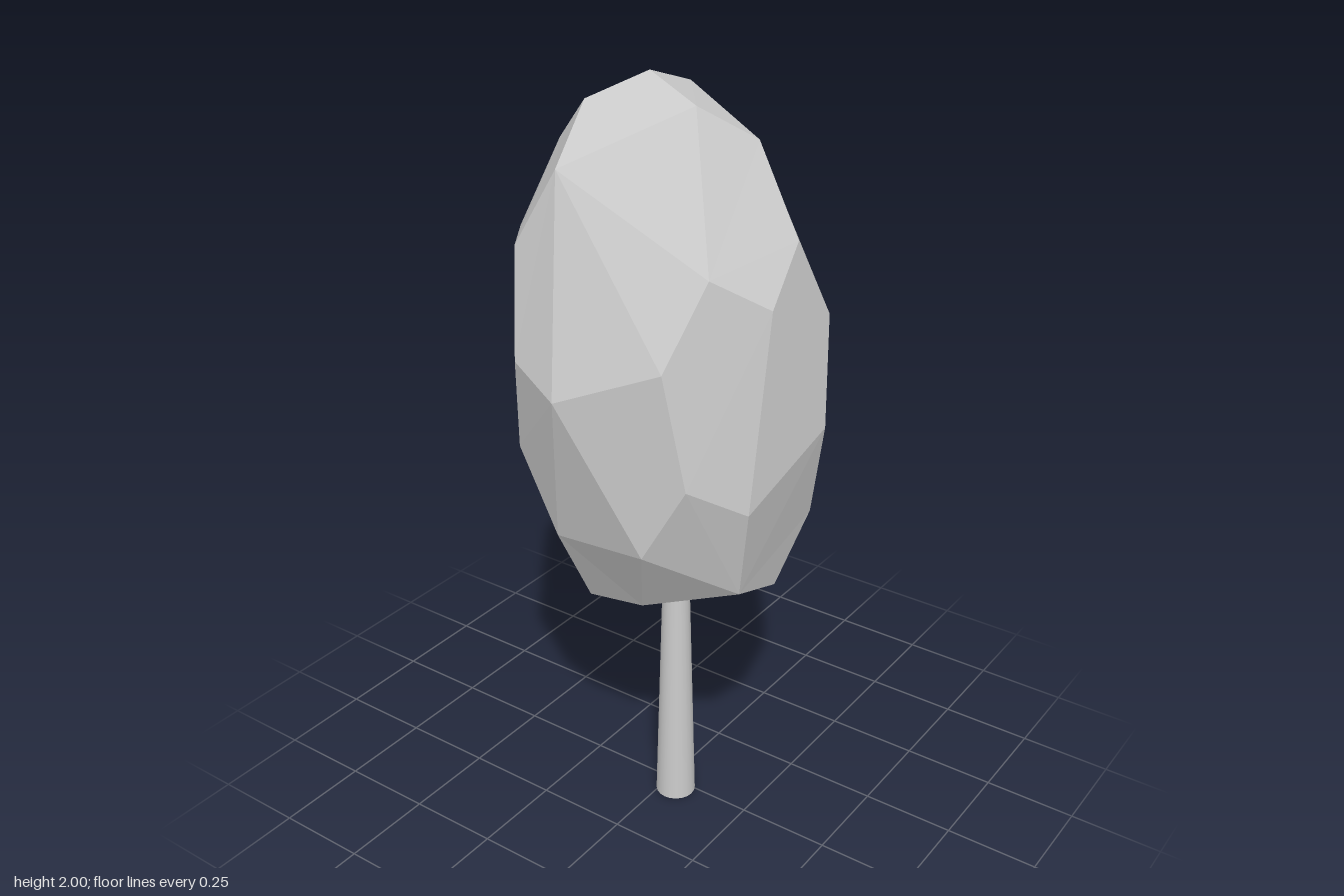
import * as THREE from 'three';
import { ConvexGeometry } from 'three/addons/geometries/ConvexGeometry.js';

const material = new THREE.MeshStandardMaterial({ color: 0xcccccc });

// Corners of the faceted crown, band by band
const cap = [
  [-0.05, 2, 0.01], [0.11, 1.95, 0.055], [0.2, 1.86, -0.07], [-0.05, 1.945, -0.155],
  [-0.17, 1.935, 0.1], [-0.3, 1.81, 0.035], [-0.3, 1.735, -0.125], [-0.14, 1.81, 0.25],
];
const shoulder = [
  [0.325, 1.65, -0.05], [0.35, 1.53, 0.095], [0.26, 1.62, 0.22], [0.21, 1.42, 0.33],
  [-0.25, 1.615, 0.275], [-0.345, 1.61, 0.14], [-0.2, 1.36, 0.35], [-0.26, 1.39, -0.31],
  [-0.15, 1.57, -0.33], [0.13, 1.62, -0.315], [0.35, 1.44, -0.165],
];
const waist = [
  [0.395, 1.18, -0.09], [0.35, 1.04, 0.175], [0.26, 1.13, 0.305], [-0.05, 1.31, 0.4],
  [-0.395, 1.33, 0.085], [-0.25, 1.1, 0.29], [-0.355, 1, -0.1], [-0.215, 1.1, -0.33],
  [-0.065, 1.02, -0.38], [0.05, 1.22, -0.4], [0.2, 1.17, -0.35],
];
const underside = [
  [0.335, 0.91, -0.14], [0.15, 0.93, 0.33], [-0.13, 0.89, 0.3], [-0.325, 0.88, 0.05],
  [-0.24, 0.885, -0.195], [0.3, 0.785, 0.13], [0.295, 0.725, -0.045], [0.07, 0.715, 0.22],
  [-0.11, 0.675, 0.2], [-0.2, 0.67, 0.07], [-0.14, 0.7, -0.2], [0.14, 0.715, -0.245],
];

// Joins corners into a closed faceted skin: they are drawn towards a sphere,
// wrapped in a hull, then pushed back out, so shallow hollows survive.
function facetedBlob(corners, centreY, squash) {
  const drawn = corners.map(([x, y, z]) => {
    const p = new THREE.Vector3(x, (y - centreY) * squash, z);
    return p.multiplyScalar(Math.pow(p.length(), -0.75));
  });
  const geometry = new ConvexGeometry(drawn);
  const position = geometry.attributes.position;
  const p = new THREE.Vector3();
  for (let i = 0; i < position.count; i++) {
    p.fromBufferAttribute(position, i);
    p.multiplyScalar(Math.pow(p.length(), 3));
    position.setXYZ(i, p.x, p.y / squash + centreY, p.z);
  }
  geometry.computeVertexNormals();
  return geometry;
}

export function createModel() {
  const tree = new THREE.Group();
  tree.name = 'tree';

  // Faceted crown
  const crownMaterial = material.clone();
  crownMaterial.flatShading = true;
  const corners = [...cap, ...shoulder, ...waist, ...underside];
  const crown = new THREE.Mesh(facetedBlob(corners, 1.33, 0.6), crownMaterial);
  crown.name = 'crown';
  tree.add(crown);

  // Tapered trunk, set slightly off centre
  const trunk = new THREE.Mesh(new THREE.CylinderGeometry(0.034, 0.054, 0.74, 20), material);
  trunk.name = 'trunk';
  trunk.position.set(0.037, 0.37, 0.025);
  tree.add(trunk);

  return tree;
}
